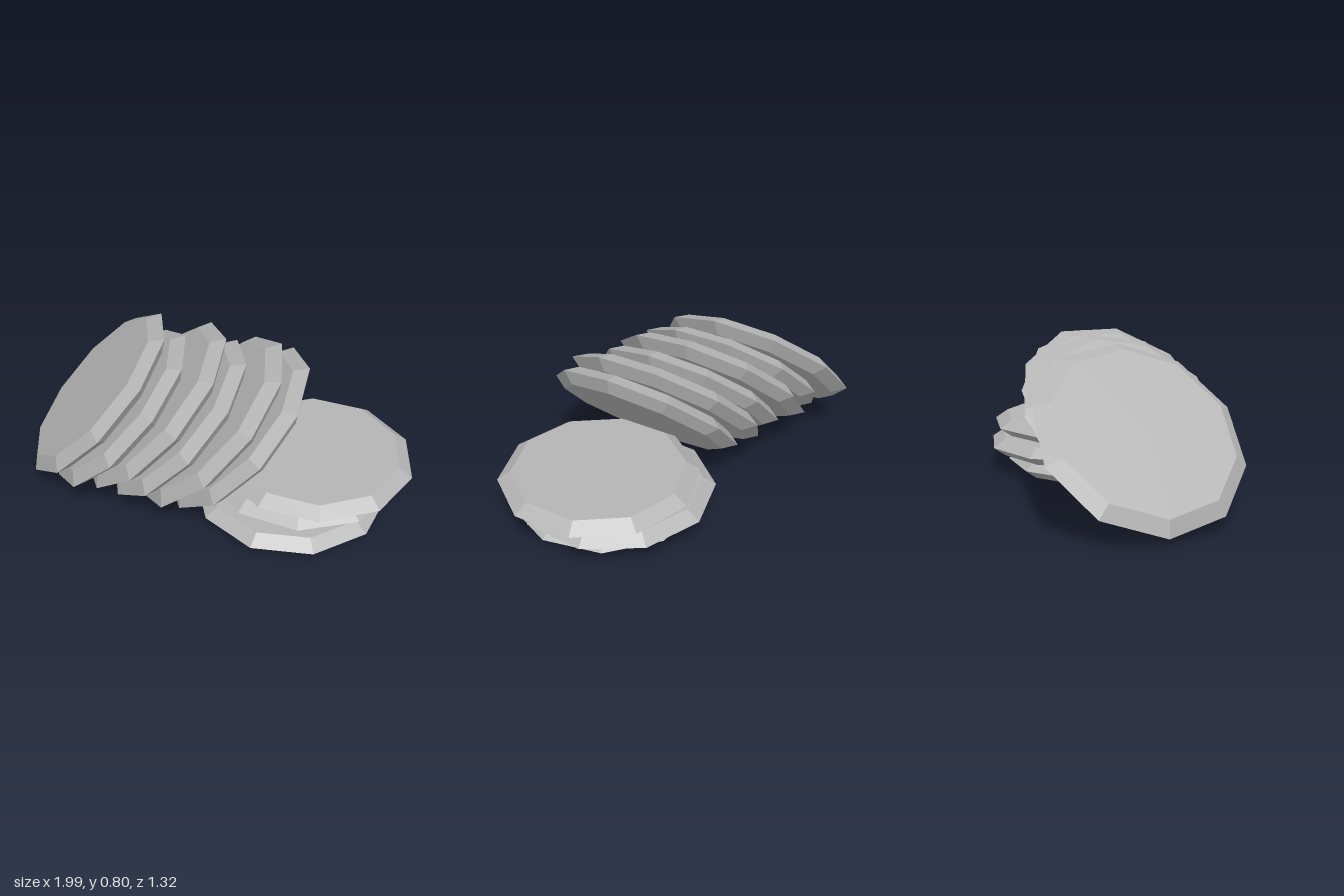
import * as THREE from 'three';

export function createModel() {
  const model = new THREE.Group();
  model.name = 'discStacks';
  const grey = new THREE.MeshStandardMaterial({ color: 0xb4b4b4, flatShading: true });
  grey.name = 'grey';

  // ten-sided disc with a bevelled, pointed rim; spin turns it about its axis, tilt leans it about z
  function addDisc(parent, name, radius, [x, y, z], spin, tilt) {
    const cap = radius * 0.865, h = 0.048;
    const profile = [[0, -h], [cap, -h], [radius, 0], [cap, h], [0, h]];
    const geometry = new THREE.LatheGeometry(profile.map(p => new THREE.Vector2(...p)), 10);
    const disc = new THREE.Mesh(geometry, grey);
    disc.name = name;
    disc.rotation.set(0, THREE.MathUtils.degToRad(spin), THREE.MathUtils.degToRad(tilt), 'ZYX');
    disc.position.set(x, y, z);
    parent.add(disc);
  }

  // three discs lying flat on each other
  const flatStack = new THREE.Group();
  flatStack.name = 'flatStack';
  [
    [0.5, [0.397, 0.048, 0.172], 12],
    [0.51, [0.455, 0.144, 0.09], -4],
    [0.503, [0.52, 0.24, 0.137], 0],
  ].forEach(([r, pos, spin], i) => addDisc(flatStack, `flatDisc${i + 1}`, r, pos, spin, 0));

  // six discs leaning in a row
  const leaningRow = new THREE.Group();
  leaningRow.name = 'leaningRow';
  [
    [0.532, [-0.63, 0.415, -0.14], 10.7],
    [0.508, [-0.5, 0.393, -0.05], 0],
    [0.532, [-0.32, 0.422, -0.035], -13],
    [0.505, [-0.197, 0.393, 0.035], 14],
    [0.535, [-0.028, 0.415, 0.075], -1],
    [0.506, [0.112, 0.4, 0.115], 19],
  ].forEach(([r, pos, spin], i) => addDisc(leaningRow, `leaningDisc${i + 1}`, r, pos, spin, 46));

  model.add(flatStack, leaningRow);
  return model;
}
